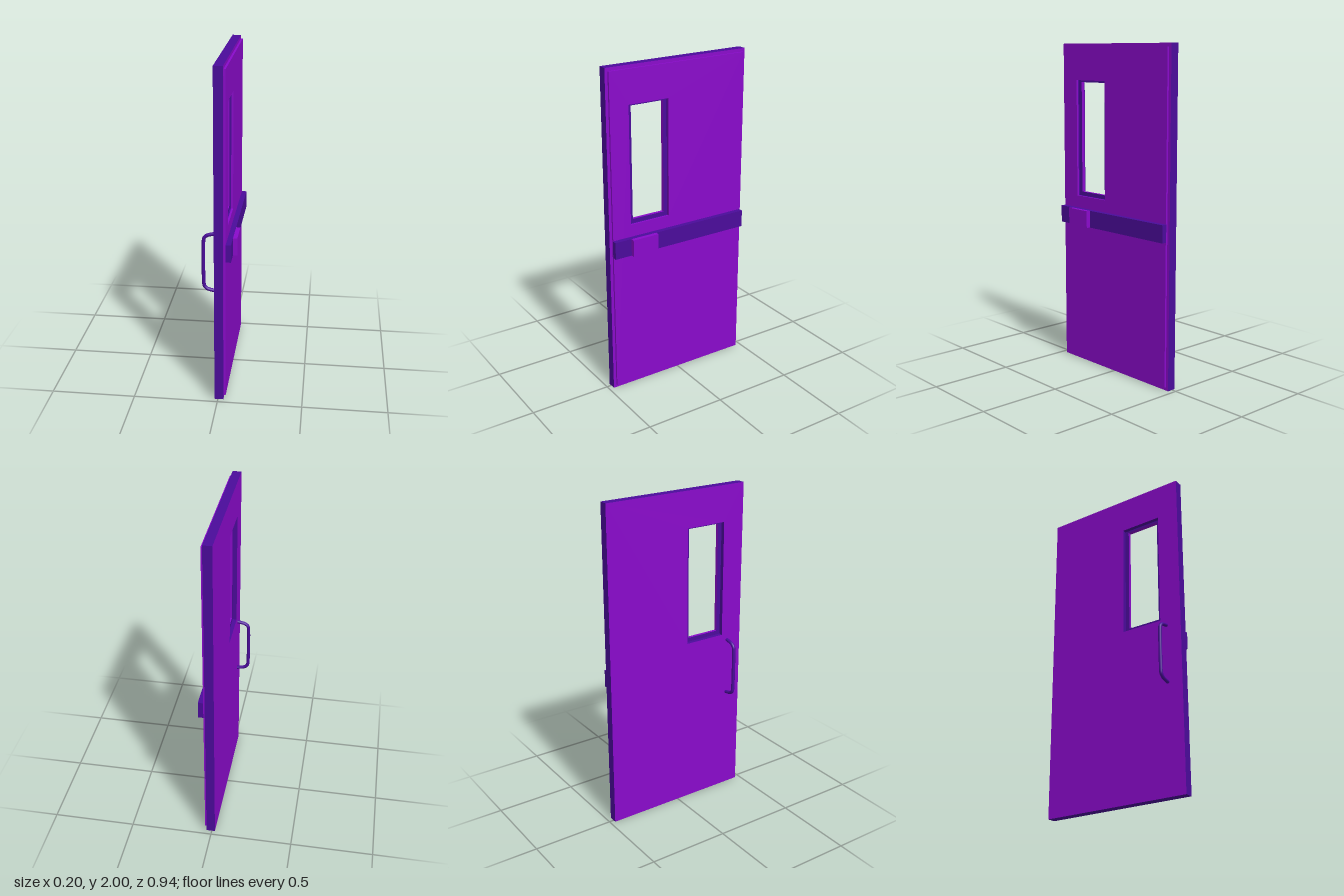
import * as THREE from 'three';

const purple = new THREE.MeshStandardMaterial({ color: 0x8a0acb });
const blue = new THREE.MeshStandardMaterial({ color: 0x4b0b9b });

// Rectangle path in the door plane, from z and y limits (shape x is -z)
function rect(path, z0, z1, y0, y1) {
  path.moveTo(-z1, y0);
  path.lineTo(-z0, y0);
  path.lineTo(-z0, y1);
  path.lineTo(-z1, y1);
  path.closePath();
  return path;
}

// Upright sheet between x0 and x1 with a rectangular hole
function sheet(name, outer, hole, x0, x1, faceMat, edgeMat) {
  const shape = rect(new THREE.Shape(), ...outer);
  shape.holes.push(rect(new THREE.Path(), ...hole));
  const geo = new THREE.ExtrudeGeometry(shape, { depth: x1 - x0, bevelEnabled: false });
  geo.rotateY(Math.PI / 2).translate(x0, 0, 0);
  const mesh = new THREE.Mesh(geo, [faceMat, edgeMat]);
  mesh.name = name;
  return mesh;
}

function box(name, x0, x1, y0, y1, z0, z1, mat) {
  const mesh = new THREE.Mesh(new THREE.BoxGeometry(x1 - x0, y1 - y0, z1 - z0), mat);
  mesh.position.set((x0 + x1) / 2, (y0 + y1) / 2, (z0 + z1) / 2);
  mesh.name = name;
  return mesh;
}

export function createModel() {
  const door = new THREE.Group();
  door.name = 'door';
  const opening = [0.07, 0.332, 1.065, 1.78];
  const glazing = [0.095, 0.307, 1.09, 1.768];

  // Slab with a raised panel on the push side
  door.add(sheet('slab', [-0.47, 0.47, 0, 2], opening, -0.02, 0.033, purple, blue));
  door.add(sheet('raisedPanel', [-0.452, 0.452, 0.02, 1.98], opening, 0.033, 0.045, purple, purple));

  // Narrow frame set back inside the window opening
  door.add(sheet('windowFrame', opening, glazing, 0.005, 0.025, blue, purple));

  // Push bar and its raised pad
  door.add(box('pushBar', 0.045, 0.075, 0.885, 0.99, -0.455, 0.455, blue));
  door.add(box('pushPad', 0.075, 0.1, 0.885, 0.99, 0.178, 0.348, purple));

  // Pull handle, bent tube on the other side
  const upper = [[-0.018, 1.024], [-0.04, 1.02], [-0.065, 1.014], [-0.078, 1.006], [-0.088, 0.994], [-0.091, 0.975]];
  const lower = upper.map(([x, y]) => [x, 1.69 - y]).reverse();
  const points = [...upper, ...lower].map(([x, y]) => new THREE.Vector3(x, y, 0.373));
  const handle = new THREE.Mesh(
    new THREE.TubeGeometry(new THREE.CatmullRomCurve3(points), 64, 0.0105, 10), blue);
  handle.name = 'pullHandle';
  door.add(handle);

  return door;
}
